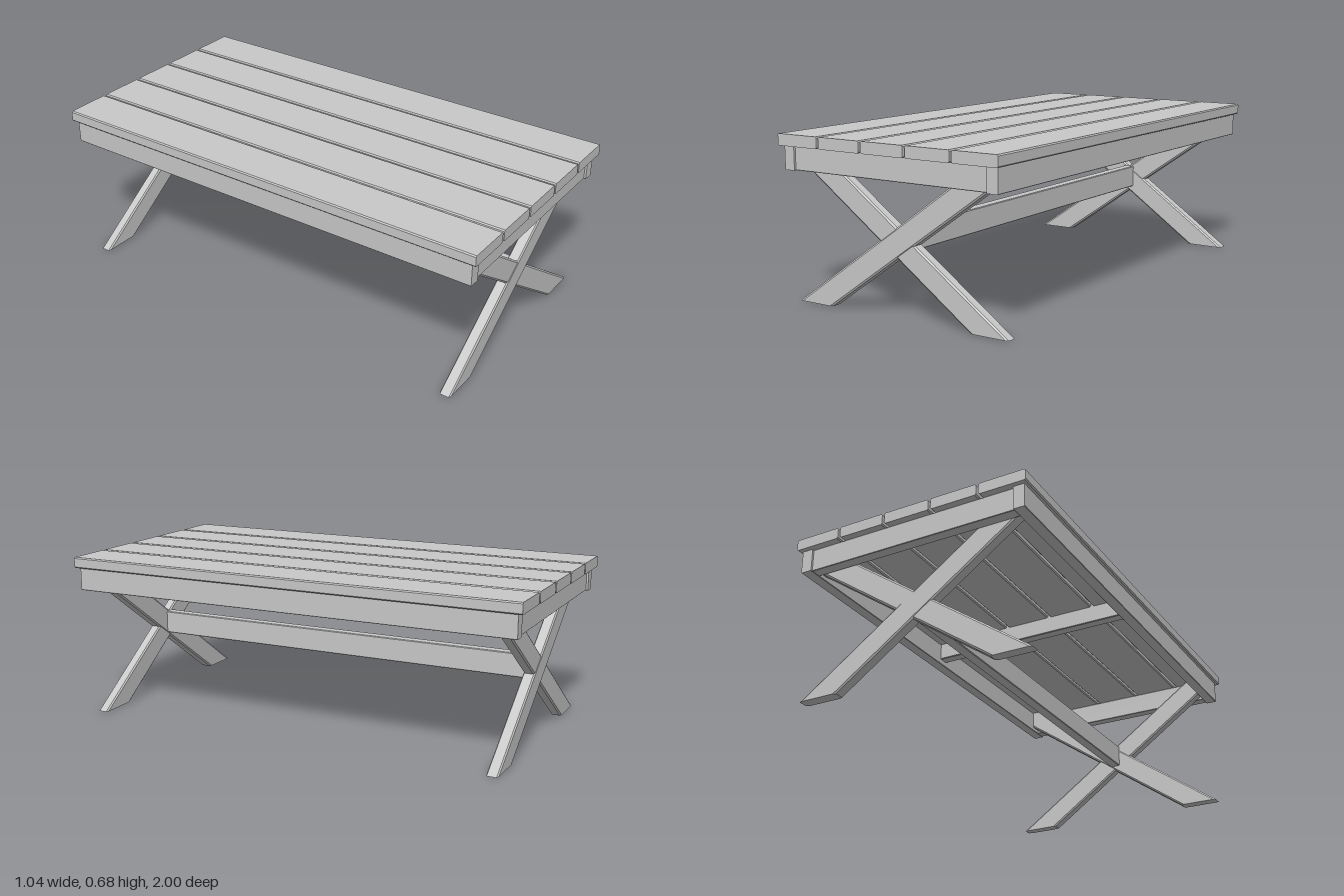
import * as THREE from 'three';

const wood = new THREE.MeshStandardMaterial({ color: 0xc8c8c8 });
wood.name = 'plain grey wood';

// Plank with chamfered long edges: w by h section, running along z, centred
function plank(w, h, length, cx, cy = cx) {
  const a = w / 2, b = h / 2;
  const section = new THREE.Shape([
    [-a + cx, -b], [a - cx, -b], [a, -b + cy], [a, b - cy],
    [a - cx, b], [-a + cx, b], [-a, b - cy], [-a, -b + cy],
  ].map(([x, y]) => new THREE.Vector2(x, y)));
  return new THREE.ExtrudeGeometry(section, { depth: length, bevelEnabled: false })
    .translate(0, 0, -length / 2);
}

// Slanted leg: a sheared upright plank with level cuts, trimmed at the side rail
function slantedLeg(thickness) {
  const top = 0.634, slope = 1.425, limit = 0.457, corner = limit - top * slope;
  const c = 0.012, d = 0.005, l = -0.505, r = -0.335, t = thickness / 2;
  const section = new THREE.Shape([
    [l + c, -t], [corner, -t], [r - c, -t], [r, -t + d], [r, t - d],
    [r - c, t], [corner, t], [l + c, t], [l, t - d], [l, -t + d],
  ].map(([x, y]) => new THREE.Vector2(x, y)));
  const geo = new THREE.ExtrudeGeometry(section, { depth: top, bevelEnabled: false });
  geo.rotateX(-Math.PI / 2);
  const p = geo.attributes.position;
  for (let i = 0; i < p.count; i++) {
    const x = p.getX(i);
    const y = Math.min(p.getY(i), (limit - x) / slope);
    p.setXY(i, x + y * slope, y);
  }
  geo.computeVertexNormals();
  return geo;
}

export function createModel() {
  const table = new THREE.Group();
  table.name = 'picnicTable';

  const add = (name, geo, x, y, z, parent = table) => {
    const mesh = new THREE.Mesh(geo, wood);
    mesh.name = name;
    mesh.position.set(x, y, z);
    parent.add(mesh);
    return mesh;
  };

  // Table top
  const slat = plank(0.2, 0.047, 2, 0.005);
  for (let i = -2; i <= 2; i++) add('topSlat', slat, i * 0.21, 0.6585, 0);

  // Side rails
  const rail = plank(0.048, 0.097, 1.96, 0.002);
  for (const s of [-1, 1]) add('sideRail', rail, s * 0.481, 0.5865, 0);

  // Flat brace under the middle of the top
  add('middleBrace', plank(0.1, 0.047, 0.914, 0.003).rotateY(Math.PI / 2)
    .rotateX(Math.PI / 2), 0, 0.6115, 0);

  // Long stretcher between the crossed legs
  add('stretcher', plank(0.047, 0.1, 1.754, 0.003), 0, 0.305, 0);

  // End boards and crossed legs, the second end turned half round
  const endGeo = plank(0.047, 0.096, 0.914, 0.002).rotateY(Math.PI / 2);
  const outerLeg = slantedLeg(0.049), innerLeg = slantedLeg(0.045);
  for (const turn of [0, Math.PI]) {
    const end = new THREE.Group();
    end.name = turn ? 'backEnd' : 'frontEnd';
    end.rotation.y = turn;
    add('endBoard', endGeo, 0, 0.587, 0.948, end);
    add('outerLeg', outerLeg, 0, 0, 0.899, end);
    add('innerLeg', innerLeg, 0, 0, 0.899, end).rotation.y = Math.PI;
    table.add(end);
  }
  return table;
}
